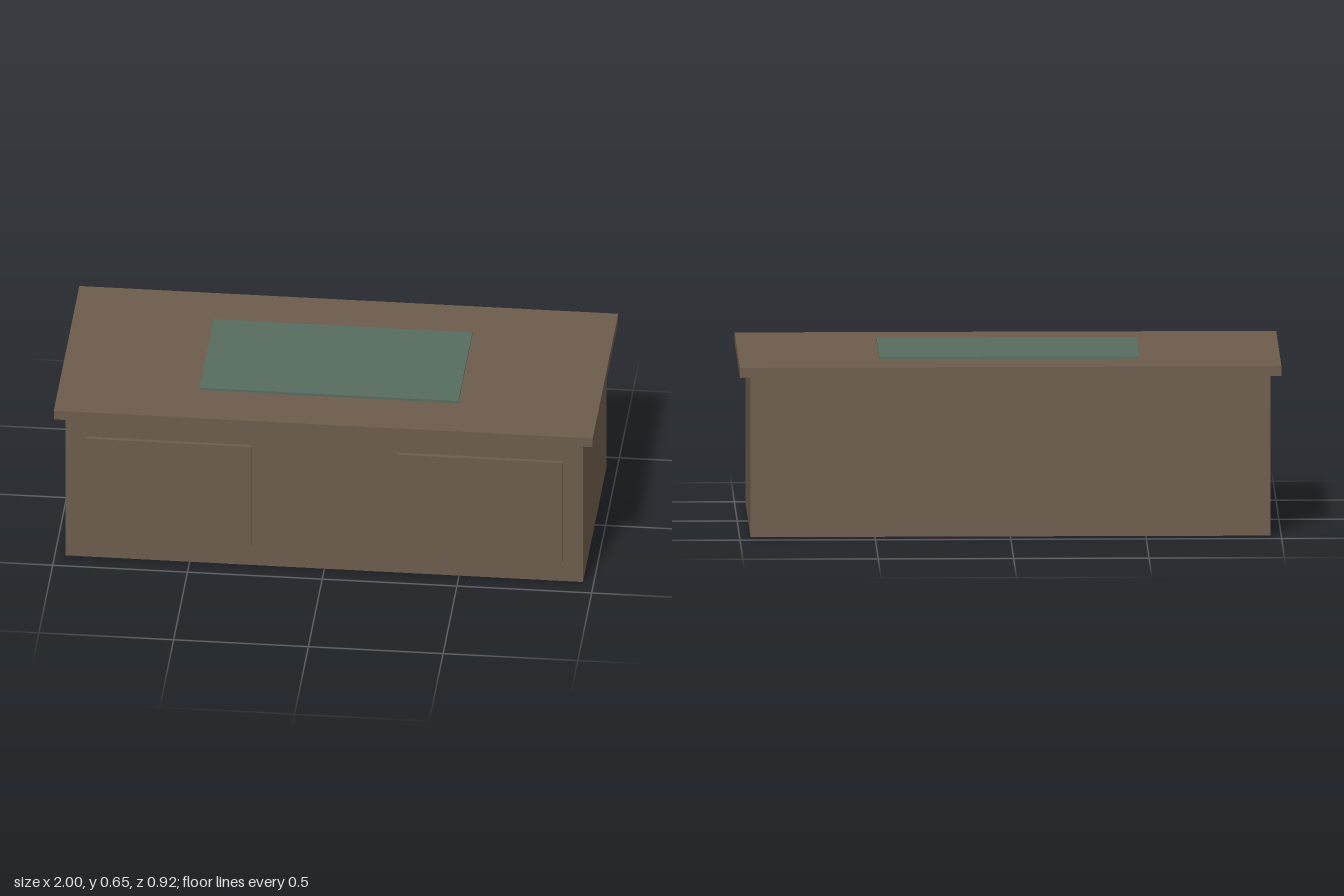
import * as THREE from 'three';

export function createModel() {
  const model = new THREE.Group();
  const wood = new THREE.MeshStandardMaterial({ color: 0x6b5b4b });
  wood.name = 'brown wood';
  const felt = new THREE.MeshStandardMaterial({ color: 0x566b5e });
  felt.name = 'green felt';

  // Adds a box given its size, base height and centre
  function addBox(name, material, [w, h, d], x, y, z) {
    const mesh = new THREE.Mesh(new THREE.BoxGeometry(w, h, d), material);
    mesh.name = name;
    mesh.position.set(x, y + h / 2, z);
    model.add(mesh);
  }

  // Desk body and overhanging top
  addBox('body', wood, [1.92, 0.6, 0.846], 0, 0, 0);
  addBox('deskTop', wood, [2, 0.037, 0.923], 0, 0.6, 0);

  // Writing pad
  addBox('writingPad', felt, [0.96, 0.009, 0.508], 0, 0.637, 0);

  // Raised front panels, mirrored
  for (const side of [-1, 1]) {
    addBox(side > 0 ? 'leftPanel' : 'rightPanel', wood, [0.615, 0.422, 0.031], side * 0.577, 0.09, 0.4235);
  }

  return model;
}
